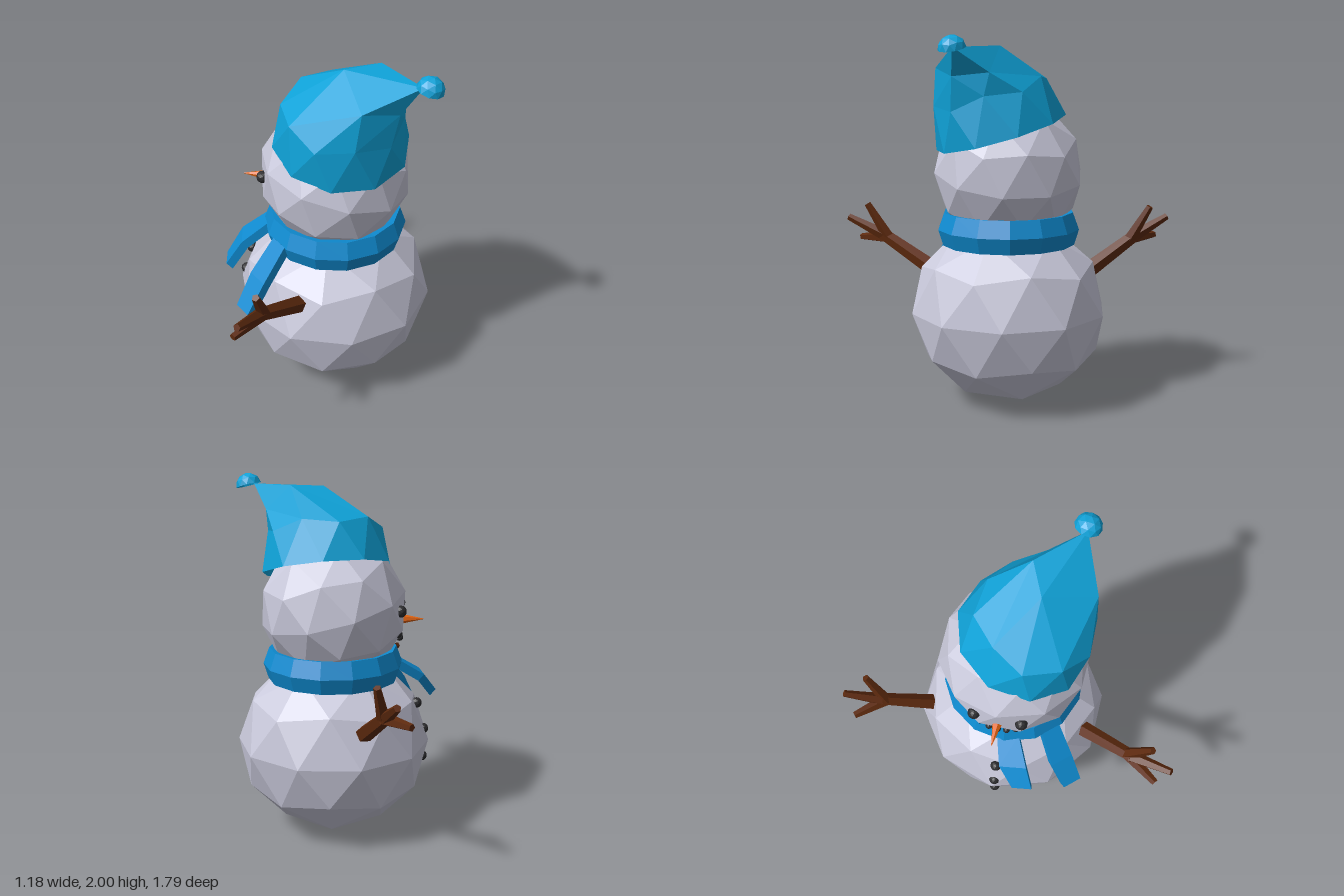
import * as THREE from 'three';

const V = (x, y, z) => new THREE.Vector3(x, y, z);
const mat = (name, color, side = THREE.FrontSide) =>
  Object.assign(new THREE.MeshStandardMaterial({ color, flatShading: true, side }), { name });

// faceted ball with a vertex pointing straight up and one of the upper ring toward +z
function facetBall() {
  const t = (1 + Math.sqrt(5)) / 2;
  return new THREE.IcosahedronGeometry(1, 1).rotateX(-Math.atan(t));
}

// upper half of the faceted ball, open underneath
function facetDome() {
  const p = facetBall().attributes.position;
  const out = [];
  for (let i = 0; i < p.count; i += 3) {
    if (p.getY(i) + p.getY(i + 1) + p.getY(i + 2) < 0.05) continue;
    for (let k = i; k < i + 3; k++) out.push(p.getX(k), p.getY(k), p.getZ(k));
  }
  const g = new THREE.BufferGeometry();
  g.setAttribute('position', new THREE.Float32BufferAttribute(out, 3));
  return g;
}

// apply a rule to every vertex
function warp(g, rule) {
  const p = g.attributes.position;
  for (let i = 0; i < p.count; i++) {
    const v = rule(V(p.getX(i), p.getY(i), p.getZ(i)));
    p.setXYZ(i, v.x, v.y, v.z);
  }
  g.computeVertexNormals();
  return g;
}

export function createModel() {
  const model = new THREE.Group();
  model.name = 'snowman';
  const snow = mat('snow', 0xcacadc);
  const hatBlue = mat('hat blue', 0x0fa2d8, THREE.DoubleSide);
  const scarfBlue = mat('scarf blue', 0x0f8bd0, THREE.DoubleSide);
  const wood = mat('wood', 0x5e2a0e);
  const coal = mat('coal', 0x2b2b2d);
  const carrot = mat('carrot', 0xe0620f);

  const add = (name, geometry, material, parent = model) => {
    const m = new THREE.Mesh(geometry, material);
    m.name = name;
    parent.add(m);
    return m;
  };

  // tapered rod between two points
  const rod = (name, a, b, ra, rb, material, parent, sides = 5) => {
    const d = b.clone().sub(a);
    const m = add(name, new THREE.CylinderGeometry(rb, ra, d.length(), sides), material, parent);
    m.position.copy(a).addScaledVector(d, 0.5);
    m.quaternion.setFromUnitVectors(V(0, 1, 0), d.normalize());
    return m;
  };

  // snowballs
  add('body', facetBall().rotateY(-Math.PI / 2).scale(0.545, 0.513, 0.545), snow)
    .position.set(0.07, 0.513, 0.067);
  add('head', facetBall().rotateY(-Math.PI / 2).rotateZ(-0.26).scale(0.412, 0.412, 0.412), snow)
    .position.set(0.068, 1.282, 0.068);

  // scarf band
  const band = [[0.28, 0.9], [0.365, 0.884], [0.392, 0.97], [0.358, 1.063], [0.3, 1.055]];
  add('scarf', new THREE.LatheGeometry(band.map(([r, y]) => new THREE.Vector2(r, y)), 14), scarfBlue)
    .position.set(0.07, 0, 0.07);

  // scarf tails: a box bent along a three-point path
  const tail = (name, path, across, widths, thick) => {
    const up = path[0].clone().sub(path[2]).normalize();
    const out = across.clone().cross(up).normalize();
    add(name, warp(new THREE.BoxGeometry(1, 2, 1, 1, 2, 1), (v) => {
      const k = Math.round(1 - v.y);
      return path[k].clone().addScaledVector(across, v.x * widths[k]).addScaledVector(out, v.z * thick);
    }), scarfBlue);
  };
  tail('scarfTailBack', [V(-0.27, 0.97, 0.01), V(-0.43, 0.87, 0.025), V(-0.525, 0.755, 0.07)],
    V(-0.15, 0, 0.99).normalize(), [0.12, 0.15, 0.11], 0.05);
  tail('scarfTailFront', [V(-0.25, 0.96, 0.24), V(-0.38, 0.78, 0.3), V(-0.475, 0.62, 0.36)],
    V(0.43, 0, 0.9).normalize(), [0.11, 0.13, 0.11], 0.05);

  // stick arms, each with three fingers
  const arm = (name, base, fork, tips) => {
    const g = new THREE.Group();
    g.name = name;
    model.add(g);
    rod('stick', base, fork, 0.048, 0.036, wood, g);
    tips.forEach((tip, i) => {
      const from = fork.clone().lerp(base, [0.12, 0.03, 0.1][i]);
      rod('finger', from, tip, 0.036, 0.02, wood, g);
    });
  };
  arm('frontArm', V(-0.19, 0.705, 0.45), V(-0.43, 0.875, 0.7),
    [V(-0.45, 1.055, 0.785), V(-0.555, 0.965, 0.885), V(-0.575, 0.84, 0.81)]);
  arm('backArm', V(0.035, 0.695, -0.41), V(0.01, 0.88, -0.7),
    [V(0.08, 1.055, -0.76), V(0.02, 0.985, -0.89), V(-0.07, 0.865, -0.85)]);

  // face and buttons, placed around the vertical axis of the snowballs
  const around = (a, r, y) => V(0.07 - r * Math.cos(a), y, 0.068 - r * Math.sin(a));
  const FACE = 0.315;
  const lump = (name, a, r, y, size) =>
    add(name, new THREE.IcosahedronGeometry(size, 1), coal).position.copy(around(a, r, y));
  for (const s of [-1, 1]) lump('eye', FACE + s * 0.33, 0.395, 1.29, 0.034);
  for (let i = -2; i <= 2; i++) lump('mouthPebble', FACE + i * 0.13, 0.375, 1.117 + i * i * 0.009, 0.019);
  for (const [r, y] of [[0.475, 0.73], [0.515, 0.575], [0.51, 0.41]]) lump('button', 0.29, r, y, 0.031);
  rod('nose', around(FACE, 0.36, 1.222), around(FACE, 0.505, 1.222), 0.032, 0.002, carrot, model, 6);

  // hat: a tilted dome whose crown is dragged over to a drooping tip
  const tip = V(0.425, 1.945, 0.445);
  const crown = [ // clockwise from the back, seen from above
    V(0.28, 1.955, 0.165), V(0.4, 1.82, 0.25), V(0.32, 1.8, 0.43),
    V(0.12, 1.84, 0.475), V(0.085, 1.945, 0.19),
  ];
  add('hat', warp(facetDome().rotateY(Math.PI), (v) => {
    if (v.y > 0.95) return tip;
    if (v.y > 0.8) {
      const k = Math.round(Math.atan2(v.x, -v.z) / (Math.PI * 0.4));
      return crown[(k + 5) % 5];
    }
    return V(v.x * 0.365, v.y * 0.46, v.z * 0.365).applyAxisAngle(V(1, 0, 0), 0.285)
      .add(V(0.09, 1.495, 0.117));
  }), hatBlue);

  // pompom
  add('pompom', facetDome().scale(0.072, 0.068, 0.072).rotateX(0.2).rotateZ(-0.2), hatBlue)
    .position.set(0.455, 1.937, 0.45);

  return model;
}
